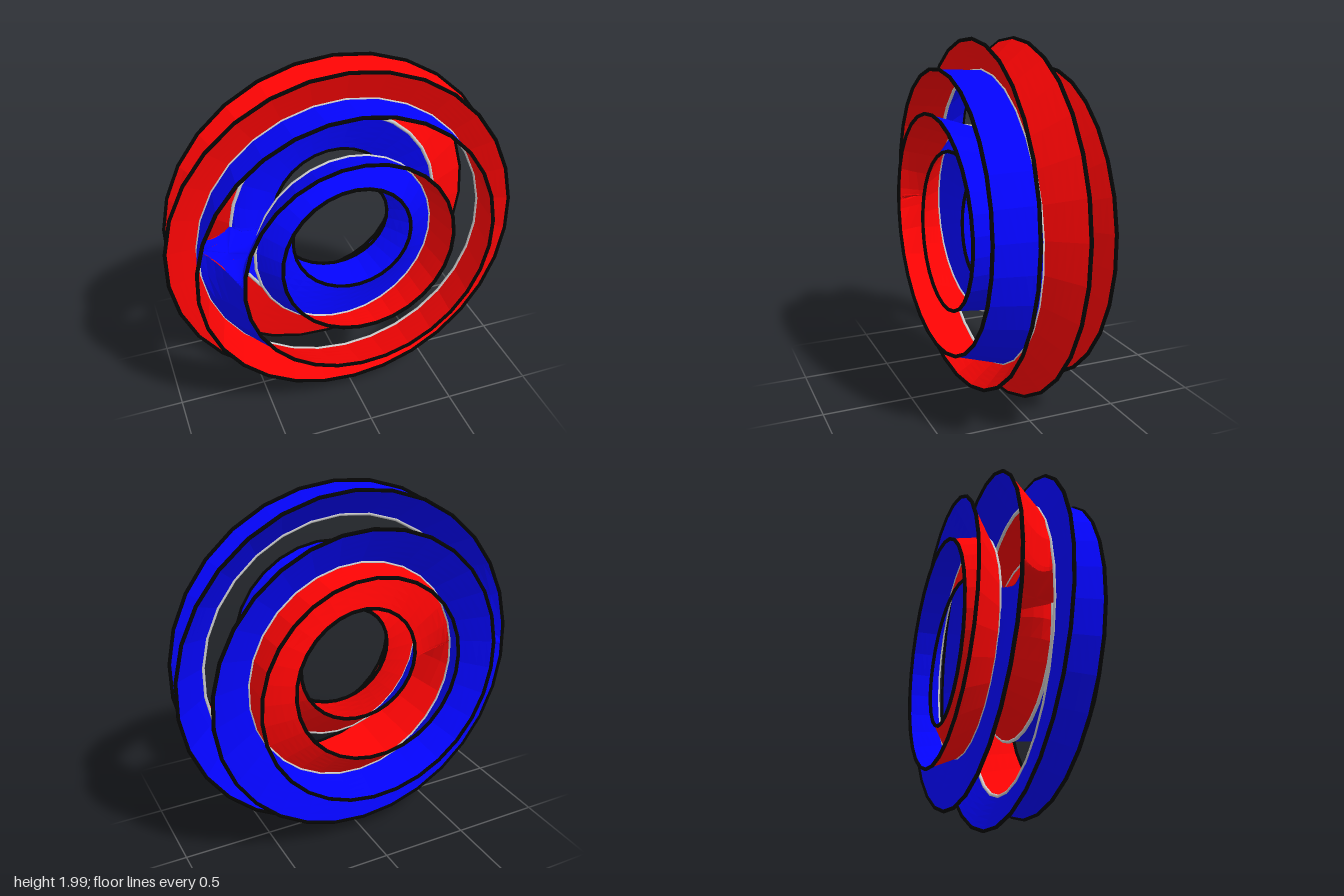
import * as THREE from 'three';

const RING = 0.645;   // radius of the main ring
const EDGE = 0.35;    // distance of the outer edge from the ring's core
const SEAM = 0.175;   // distance of the inner seams from the ring's core
const MID_Y = 1.005;  // height of the ring's centre
const TURNS = 9;      // turns the edge makes before it closes
const SIDES = 30;     // facets per turn
const ROWS = 6;       // facets across the ribbon
const rad = THREE.MathUtils.degToRad;

// Point at angle theta round the ring and angle phi round its core (degrees)
function onRing(theta, phi, r) {
  const rho = RING + r * Math.cos(rad(phi));
  return new THREE.Vector3(rho * Math.cos(rad(theta)), MID_Y + rho * Math.sin(rad(theta)), r * Math.sin(rad(phi)));
}

// Outer edge: nine turns round the ring, one turn round the core
const edgePoint = (turn, theta) => onRing(theta, -(theta + 90) / TURNS - (360 / TURNS) * turn, EDGE);

// Inner seam: a closed ring that sways a little round the core
const seamPoint = (phi, theta) => onRing(theta, phi + 9 * Math.cos(rad(theta)), SEAM);

// Closed curve whose given function is followed evenly in t
class EvenCurve extends THREE.Curve {
  constructor(point) {
    super();
    this.point = point;
  }
  getPoint(t, target = new THREE.Vector3()) { return target.copy(this.point(t)); }
  getPointAt(t, target) { return this.getPoint(t, target); }
  getTangentAt(t, target) { return this.getTangent(t, target); }
}

// Middle of the web that closes the hollow core
const webCentre = onRing(180, 0, 0).add(new THREE.Vector3(0, -0.01, 0));

// Line across a sheet, bent towards the core by pull
function across(inner, outer, pull = 0) {
  const control = inner.clone().lerp(outer, 0.5).lerp(webCentre, pull);
  return new THREE.QuadraticBezierCurve3(inner, control, outer).getPoints(ROWS);
}

// Lines across the whole ribbon and across the web, in order
function sheetLines() {
  const bend = [0.45, 0.2];   // sheets curve in beside a crossing
  const ribbon = [];
  const web = [];
  for (let turn = 0; turn < TURNS; turn++) {
    const seam = 20 - 120 * Math.ceil(turn / 3);
    for (let i = 0; i < SIDES; i++) {
      const theta = -174 + (i * 360) / SIDES;
      const steps = turn % 3 === 0 ? SIDES - 1 - i : turn % 3 === 1 ? i : SIDES;
      ribbon.push(across(seamPoint(seam, theta), edgePoint(turn, theta), bend[steps]));
    }
    // after every third turn the ribbon crosses over to the next seam
    if (turn % 3 === 0) {
      const from = seamPoint(seam, 175);
      const to = seamPoint(seam - 120, 175);
      const n = 24;
      for (let i = 0; i <= n; i++) {
        const u = i / n;
        const inner = from.clone().lerp(to, u);
        inner.y -= 0.2 * u * (1 - u);
        ribbon.push(across(inner, edgePoint(turn, 178 + 4 * u), 0.5 * (2 * u - 1) ** 2));
        web.push(across(webCentre, inner));
      }
    }
  }
  return { ribbon, web };
}

// One face of a closed strip of lines, raised a hair so the two faces do not coincide
function stripGeometry(lines, flip) {
  const index = [];
  const size = ROWS + 1;
  for (let i = 0; i < lines.length; i++) {
    for (let j = 0; j < ROWS; j++) {
      const a = i * size + j, b = a + 1;
      const c = ((i + 1) % lines.length) * size + j, d = c + 1;
      if (flip) index.push(a, d, b, a, c, d);
      else index.push(a, b, d, a, d, c);
    }
  }
  const geometry = new THREE.BufferGeometry().setFromPoints(lines.flat());
  geometry.setIndex(index);
  geometry.computeVertexNormals();
  const { position, normal } = geometry.attributes;
  const p = new THREE.Vector3(), n = new THREE.Vector3();
  for (let i = 0; i < position.count; i++) {
    p.fromBufferAttribute(position, i).addScaledVector(n.fromBufferAttribute(normal, i), 0.001);
    position.setXYZ(i, p.x, p.y, p.z);
  }
  return geometry;
}

export function createModel() {
  const group = new THREE.Group();
  group.name = 'windingRibbon';
  const add = (name, geometry, color, flatShading = false) => {
    const mesh = new THREE.Mesh(geometry, new THREE.MeshStandardMaterial({ color, flatShading }));
    mesh.name = name;
    group.add(mesh);
  };

  // Two-coloured ribbon, and the web that joins its three crossings
  for (const [part, lines] of Object.entries(sheetLines())) {
    add(`${part}RedFace`, stripGeometry(lines, false), 0xff0404, part === 'ribbon');
    add(`${part}BlueFace`, stripGeometry(lines, true), 0x0404ff, part === 'ribbon');
  }

  // Black cord along the outer edge
  const edge = new EvenCurve((t) => edgePoint(0, -174 + 360 * TURNS * t));
  add('outerEdge', new THREE.TubeGeometry(edge, SIDES * TURNS, 0.01, 8, true), 0x050505);

  // Three thin rings where the sheets meet
  for (const phi of [20, 140, 260]) {
    const seam = new EvenCurve((t) => seamPoint(phi, -174 + 360 * t));
    add('innerSeam', new THREE.TubeGeometry(seam, SIDES, 0.01, 8, true), 0xcccccc);
  }
  return group;
}
